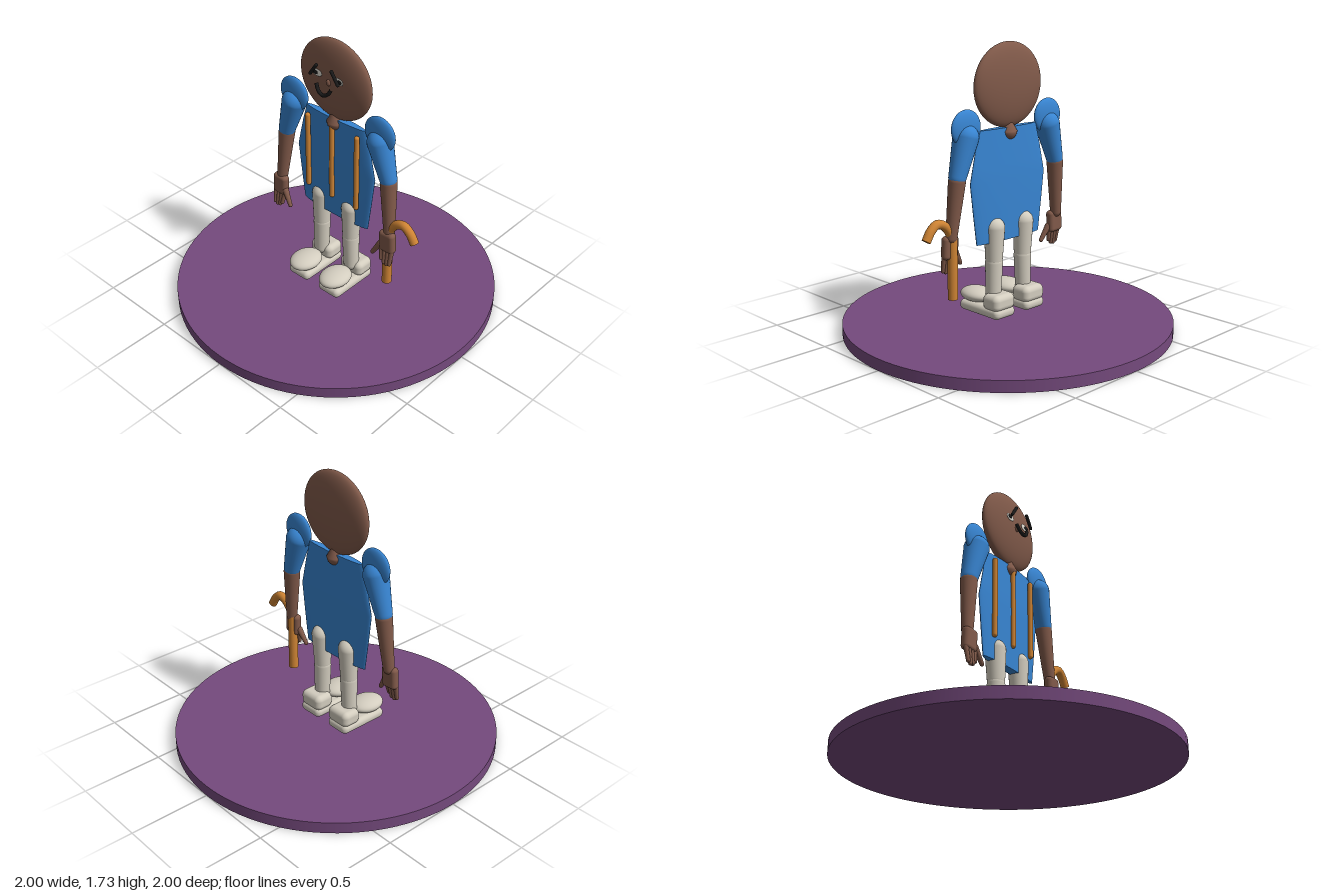
import * as THREE from 'three';
import { RoundedBoxGeometry } from 'three/addons/geometries/RoundedBoxGeometry.js';

const mat = (name, color) => {
  const m = new THREE.MeshStandardMaterial({ color });
  m.name = name;
  return m;
};
const V = (x, y, z) => new THREE.Vector3(x, y, z);

export function createModel() {
  const root = new THREE.Group();
  root.name = 'figure';
  const purple = mat('purple', 0x754a7d);
  const skin = mat('brown skin', 0x815a4a);
  const blue = mat('blue cloth', 0x3885d2);
  const orange = mat('orange', 0xcf8434);
  const cream = mat('cream', 0xd3cdbf);
  const black = mat('black', 0x1a1a1a);
  const white = mat('eye white', 0xe6e2d8);

  const add = (parent, name, geo, material, p = [0, 0, 0]) => {
    const m = new THREE.Mesh(geo, material);
    m.name = name;
    m.position.set(...p);
    parent.add(m);
    return m;
  };
  const group = (name) => {
    const g = new THREE.Group();
    g.name = name;
    root.add(g);
    return g;
  };
  const ellipsoid = (parent, name, material, p, r) =>
    add(parent, name, new THREE.SphereGeometry(1, 40, 24).scale(...r), material, p);

  // Tapered limb with rounded ends, from point a to point b
  const limb = (parent, name, material, a, b, ra, rb) => {
    const A = V(...a), B = V(...b), d = B.clone().sub(A), len = d.length();
    const pts = [];
    for (let i = 0; i <= 8; i++) {
      const t = -Math.PI / 2 + (i / 8) * Math.PI / 2;
      pts.push(new THREE.Vector2(Math.max(0, ra * Math.cos(t)), ra * Math.sin(t)));
    }
    for (let i = 0; i <= 8; i++) {
      const t = (i / 8) * Math.PI / 2;
      pts.push(new THREE.Vector2(Math.max(0, rb * Math.cos(t)), len + rb * Math.sin(t)));
    }
    const m = add(parent, name, new THREE.LatheGeometry(pts, 24), material, a);
    m.quaternion.setFromUnitVectors(V(0, 1, 0), d.normalize());
    return m;
  };

  // Round stand
  add(root, 'base', new THREE.CylinderGeometry(1, 1, 0.07, 96), purple, [0, 0.035, 0]);

  // Flattened torso
  const profile = [[0, 0.56], [0.258, 0.56], [0.282, 0.74], [0.305, 0.93], [0.285, 1.02],
    [0.262, 1.12], [0.23, 1.235], [0, 1.235]].map(([x, y]) => new THREE.Vector2(x, y));
  const hull = new THREE.LatheGeometry(profile.slice(1, -1), 64).scale(1, 1, 0.11);
  add(root, 'torso', hull, blue);
  for (const [name, r, y, s] of [['torsoTop', 0.23, 1.235, -1], ['torsoBottom', 0.258, 0.56, 1]]) {
    const cap = new THREE.CircleGeometry(r, 64).rotateX(s * Math.PI / 2).scale(1, 1, 0.11);
    add(root, name, cap, blue, [0, y, 0]);
  }
  for (const x of [-0.192, 0, 0.192]) {
    limb(root, 'stripe', orange, [x, 0.705, 0.036], [x, 1.185, 0.036], 0.016, 0.016);
  }

  // Head and neck
  ellipsoid(root, 'head', skin, [0, 1.482, 0], [0.268, 0.25, 0.063]);
  limb(root, 'neck', skin, [0, 1.21, 0], [0, 1.255, 0], 0.055, 0.03);

  // Face
  const face = group('face');
  ellipsoid(face, 'nose', skin, [0, 1.485, 0.062], [0.015, 0.021, 0.012]);
  for (const s of [-1, 1]) {
    ellipsoid(face, 'eye', white, [s * 0.08, 1.525, 0.07], [0.038, 0.022, 0.004]);
    ellipsoid(face, 'pupil', black, [s * 0.09, 1.526, 0.075], [0.02, 0.012, 0.004]);
    limb(face, 'brow', black, [s * 0.057, 1.592, 0.1], [s * 0.104, 1.524, 0.1], 0.01, 0.01);
  }
  const smile = new THREE.CatmullRomCurve3([V(-0.058, 1.478, 0.1), V(-0.035, 1.442, 0.108),
    V(0, 1.426, 0.112), V(0.035, 1.442, 0.108), V(0.058, 1.478, 0.1)]);
  add(face, 'mouth', new THREE.TubeGeometry(smile, 32, 0.011, 10), black);

  for (const s of [-1, 1]) {
    const side = s > 0 ? 'left' : 'right';

    // Arm
    const arm = group(side + 'Arm');
    ellipsoid(arm, 'shoulder', blue, [s * 0.333, 1.262, 0], [0.11, 0.108, 0.032]);
    limb(arm, 'sleeve', blue, [s * 0.335, 1.21, 0], [s * 0.402, 0.99, 0], 0.077, 0.052);
    limb(arm, 'forearm', skin, [s * 0.406, 0.965, 0], [s * 0.437, 0.64, 0.018], 0.051, 0.034);

    // Hand with four fingers and a thumb
    const hand = group(side + 'Hand');
    const palm = add(hand, 'palm', new RoundedBoxGeometry(0.108, 0.14, 0.055, 4, 0.024),
      skin, [s * 0.438, 0.58, 0.032]);
    palm.rotation.z = s * 0.05;
    for (let i = 0; i < 4; i++) {
      const len = [0.44, 0.43, 0.435, 0.455][i];
      limb(hand, 'finger', skin, [s * (0.477 - i * 0.026), 0.53, 0.038],
        [s * (0.474 - i * 0.021), len, 0.054], 0.015, 0.012);
    }
    limb(hand, 'thumb', skin, [s * 0.393, 0.55, 0.04], [s * 0.342, 0.465, 0.052], 0.02, 0.013);

    // Leg
    const leg = group(side + 'Leg');
    const x = s * 0.12;
    limb(leg, 'thigh', cream, [x, 0.645, -0.008], [x, 0.45, -0.003], 0.063, 0.052);
    limb(leg, 'shin', cream, [x, 0.43, -0.003], [x + s * 0.005, 0.23, -0.003], 0.053, 0.047);

    // Shoe
    const shoe = group(side + 'Shoe');
    const sx = s * 0.125;
    add(shoe, 'sole', new RoundedBoxGeometry(0.165, 0.065, 0.335, 4, 0.03), cream, [sx, 0.138, 0.053]);
    add(shoe, 'heel', new RoundedBoxGeometry(0.168, 0.1, 0.13, 4, 0.035), cream, [sx, 0.202, -0.048]);
    ellipsoid(shoe, 'toe', cream, [sx, 0.204, 0.142], [0.09, 0.045, 0.112]);
  }

  // Walking cane with curved handle
  const cane = group('cane');
  add(cane, 'shaft', new THREE.CylinderGeometry(0.03, 0.03, 0.37, 24), orange, [0.43, 0.455, 0.018]);
  const pts = [[0.43, 0.62], [0.452, 0.675], [0.495, 0.722], [0.545, 0.737], [0.59, 0.707], [0.626, 0.652]];
  const hook = new THREE.CatmullRomCurve3(pts.map(([x, y]) => V(x, y, 0.018)));
  add(cane, 'handle', new THREE.TubeGeometry(hook, 40, 0.027, 16), orange);
  const tip = add(cane, 'handleEnd', new THREE.CircleGeometry(0.027, 16), orange, [0.626, 0.652, 0.018]);
  tip.quaternion.setFromUnitVectors(V(0, 0, 1), hook.getTangent(1));

  return root;
}
